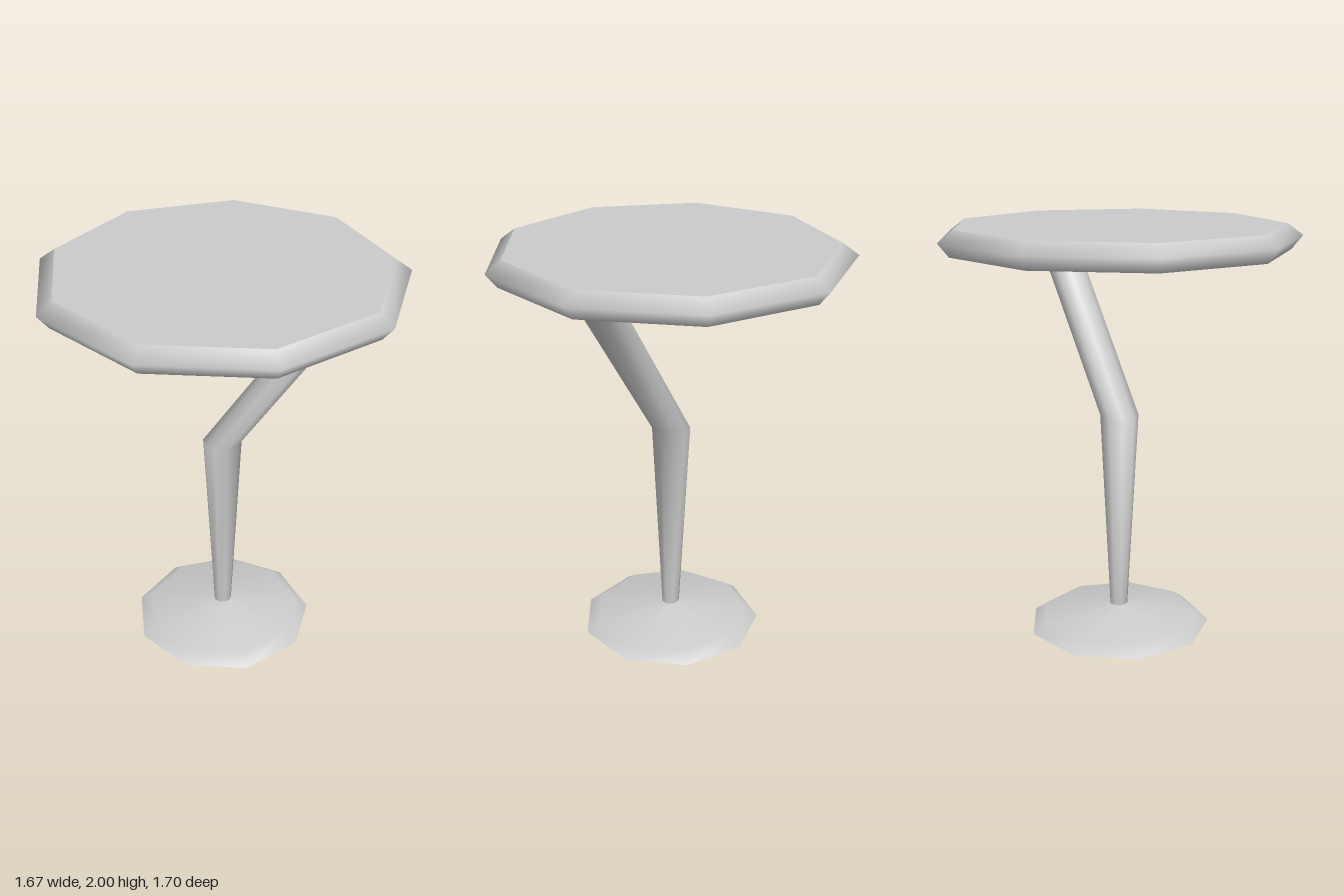
import * as THREE from 'three';

const SIDES = 9;
const AXIS_X = -0.027; // a corner points to +x, so the axis sits slightly left of centre

const material = new THREE.MeshStandardMaterial({ color: 0xcccccc, side: THREE.DoubleSide });

// Smooth nine-sided skin through rings { x, y, r, tilt }, listed bottom to top.
function loft(rings) {
  const positions = [];
  const indices = [];
  rings.forEach(({ x = AXIS_X, y, r, tilt = 0 }, k) => {
    for (let i = 0; i < SIDES; i++) {
      const a = (i / SIDES) * Math.PI * 2;
      positions.push(x + r * Math.cos(a), y + tilt * Math.cos(a), -r * Math.sin(a));
      if (k === 0) continue;
      const j = (i + 1) % SIDES;
      const low = (k - 1) * SIDES;
      const high = k * SIDES;
      indices.push(low + i, low + j, high + j, low + i, high + j, high + i);
    }
  });
  const geometry = new THREE.BufferGeometry();
  geometry.setAttribute('position', new THREE.Float32BufferAttribute(positions, 3));
  geometry.setIndex(indices);
  geometry.computeVertexNormals();
  return geometry;
}

function addMesh(parent, name, geometry) {
  const mesh = new THREE.Mesh(geometry, material);
  mesh.name = name;
  parent.add(mesh);
  return mesh;
}

export function createModel() {
  const model = new THREE.Group();
  model.name = 'pedestalTable';

  // Shallow hollow foot, open underneath
  addMesh(model, 'base', loft([
    { y: 0, r: 0.453 },
    { y: 0.047, r: 0.387 },
    { y: 0.1, r: 0.044 },
  ]));

  // Tapered stem that bends at the knee and leans out to the tabletop
  addMesh(model, 'stem', loft([
    { y: 0.1, r: 0.044 },
    { y: 1.088, r: 0.096, tilt: 0.012 },
    { x: 0.583, y: 1.88, r: 0.096 },
  ]));

  // Nine-sided tabletop: bevelled rim with flat faces above and below
  const tabletop = new THREE.Group();
  tabletop.name = 'tabletop';
  model.add(tabletop);
  addMesh(tabletop, 'rim', loft([
    { y: 1.88, r: 0.81 },
    { y: 1.945, r: 0.863 },
    { y: 2, r: 0.789 },
  ]));
  const top = addMesh(tabletop, 'topFace', new THREE.CircleGeometry(0.789, SIDES));
  top.rotation.x = -Math.PI / 2;
  top.position.set(AXIS_X, 2, 0);
  const underside = addMesh(tabletop, 'underside', new THREE.CircleGeometry(0.81, SIDES));
  underside.rotation.x = Math.PI / 2;
  underside.position.set(AXIS_X, 1.88, 0);

  return model;
}
